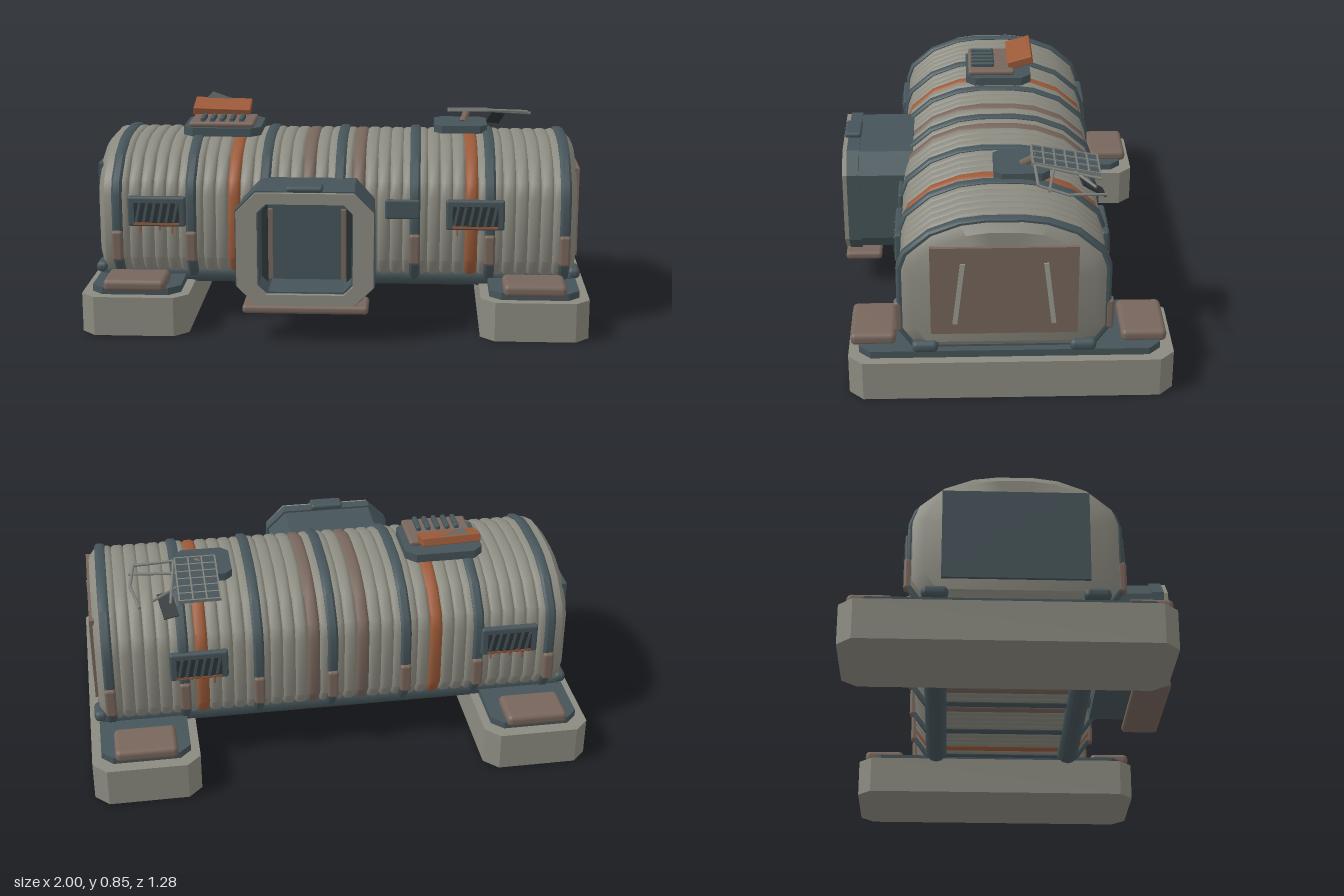
import * as THREE from 'three';
import { toCreasedNormals } from 'three/addons/utils/BufferGeometryUtils.js';
import { RoundedBoxGeometry } from 'three/addons/geometries/RoundedBoxGeometry.js';

const mat = (name, color, side = THREE.FrontSide) => {
  const m = new THREE.MeshStandardMaterial({ color, side });
  m.name = name;
  return m;
};

export function createModel() {
  const model = new THREE.Group();
  model.name = 'habitatModule';
  const grey = mat('weathered grey', 0x8c8b81);
  const teal = mat('dark teal', 0x46555a);
  const brown = mat('dull brown', 0x77665c);
  const rust = mat('rust orange', 0x9c5a38);
  const black = mat('dark slot', 0x2c3436);
  const sheet = mat('torn sheet', 0x7d807b, THREE.DoubleSide);
  const pale = mat('pale scrape', 0x9a9c92);

  const add = (name, geo, material, x = 0, y = 0, z = 0, parent = model) => {
    const m = new THREE.Mesh(geo, material);
    m.name = name;
    m.position.set(x, y, z);
    parent.add(m);
    return m;
  };
  const box = (name, w, h, d, material, x, y, z, parent) =>
    add(name, new THREE.BoxGeometry(w, h, d), material, x, y, z, parent);
  const pad = (name, w, h, d, material, x, y, z, r = 0.012) =>
    add(name, new RoundedBoxGeometry(w, h, d, 2, Math.min(r, h / 2.1, d / 2.1)), material, x, y, z);
  const rod = (name, a, b, r, material) => {
    const p = new THREE.Vector3(...a), q = new THREE.Vector3(...b);
    const m = add(name, new THREE.CylinderGeometry(r, r, p.distanceTo(q), 6), material);
    m.position.copy(p).add(q).multiplyScalar(0.5);
    m.quaternion.setFromUnitVectors(new THREE.Vector3(0, 1, 0), q.sub(p).normalize());
    return m;
  };
  // Rectangle with cut corners
  const octagon = (w, h, c, Type = THREE.Shape) => {
    const a = w / 2, b = h / 2;
    return new Type([[-a + c, -b], [a - c, -b], [a, -b + c], [a, b - c], [a - c, b], [-a + c, b], [-a, b - c], [-a, -b + c]]
      .map(p => new THREE.Vector2(...p)));
  };
  const slab = (name, w, d, h, c, material, x, y, z) => {
    const g = new THREE.ExtrudeGeometry(octagon(w, d, c), { depth: h, bevelEnabled: false });
    g.rotateX(-Math.PI / 2);
    return add(name, g, material, x, y, z);
  };

  // Hull cross-section as [z, y], lofted along x; each station is [x, scale]
  const half = [[0.33, 0.188], [0.385, 0.265], [0.385, 0.52], [0.363, 0.58], [0.27, 0.66], [0.16, 0.702], [0.07, 0.714]];
  const ring = [...half, ...half.slice().reverse().map(([z, y]) => [-z, y])];
  const CY = 0.45;
  const loft = stations => {
    const pos = [], n = ring.length;
    const at = ([x, s], j) => {
      const [z, y] = ring[j % n];
      return [x, CY + (y - CY) * s, z * s];
    };
    const last = stations[stations.length - 1];
    for (let j = 0; j < n; j++) {
      for (let i = 0; i < stations.length - 1; i++) {
        const a = at(stations[i], j), b = at(stations[i + 1], j);
        const c = at(stations[i + 1], j + 1), d = at(stations[i], j + 1);
        pos.push(...a, ...b, ...c, ...a, ...c, ...d);
      }
      pos.push(stations[0][0], CY, 0, ...at(stations[0], j), ...at(stations[0], j + 1));
      pos.push(last[0], CY, 0, ...at(last, j + 1), ...at(last, j));
    }
    const g = new THREE.BufferGeometry();
    g.setAttribute('position', new THREE.Float32BufferAttribute(pos, 3));
    return toCreasedNormals(g, 0.7);
  };

  // Corrugated hull ribs, a few of them rusted or faded
  const step = 0.0498, mid = 0.016;
  const ribColours = { '-9': rust, 10: rust, '-3': brown, 1: brown };
  for (let k = -18; k < 18; k++) {
    const x = mid + k * step;
    add('hullRib', loft([[0, 0.972], [0.08, 0.988], [0.28, 1], [0.72, 1], [0.92, 0.988], [1, 0.972]]
      .map(([t, s]) => [x + t * step, s])), ribColours[k] || grey);
  }

  // Structural hoops with foot clamps
  for (let i = -3; i <= 3; i++) {
    const x = mid + i * 0.298;
    add('hoop', loft([[x - 0.021, 1.012], [x - 0.012, 1.035], [x + 0.012, 1.035], [x + 0.021, 1.012]]), teal);
    for (const s of [-1, 1]) {
      if (s > 0 && (i === -1 || i === 0)) continue;
      pad('hoopClamp', 0.044, 0.125, 0.035, brown, x, 0.315, s * 0.393);
    }
  }

  // End caps with access panels
  for (const s of [-1, 1]) {
    const st = [[0.89, 1], [0.93, 0.985], [0.957, 0.87]];
    add('endCap', loft(s > 0 ? st : st.map(([x, k]) => [-x, k]).reverse()), grey);
    box('endPanel', 0.02, 0.36, 0.545, s > 0 ? brown : teal, s * 0.96, 0.445, 0);
  }
  for (const s of [-1, 1]) {
    const m = box('panelScrape', 0.008, 0.255, 0.018, pale, 0.971, 0.435, s * 0.168);
    m.rotation.x = -s * 0.12;
  }

  // Under-floor rails
  for (const s of [-1, 1]) {
    const g = new THREE.CylinderGeometry(0.046, 0.046, 1.9, 12);
    g.rotateZ(Math.PI / 2);
    add('floorRail', g, teal, 0, 0.188, s * 0.295);
    for (const e of [-1, 1]) pad('railEnd', 0.05, 0.045, 0.1, teal, e * 0.955, 0.207, s * 0.295, 0.02);
  }

  // Foundation blocks with deck plates and pads
  for (const s of [-1, 1]) {
    slab('foundation', 0.425, 1.225, 0.157, 0.055, grey, s * 0.7875, 0, -0.0275);
    slab('deckPlate', 0.352, 1.135, 0.028, 0.045, teal, s * 0.786, 0.157, -0.022);
    pad('deckPad', 0.246, 0.05, 0.172, brown, s * 0.785, 0.2, 0.492, 0.02);
    pad('deckPad', 0.246, 0.05, 0.172, brown, s * 0.785, 0.2, -0.53, 0.02);
  }

  // Entry porch: hollow shell, rim, recessed door, sill and top cap
  const px = -0.107, py = 0.374;
  const tube = (name, w, h, c, hw, hh, hc, depth, material, z) => {
    const shape = octagon(w, h, c);
    shape.holes.push(octagon(hw, hh, hc, THREE.Path));
    return add(name, new THREE.ExtrudeGeometry(shape, { depth, bevelEnabled: false }), material, px, py, z);
  };
  tube('porchShell', 0.525, 0.44, 0.075, 0.36, 0.35, 0.035, 0.265, teal, 0.35);
  tube('porchCollar', 0.54, 0.456, 0.078, 0.37, 0.36, 0.035, 0.05, teal, 0.572);
  tube('porchRim', 0.53, 0.446, 0.076, 0.37, 0.36, 0.035, 0.02, grey, 0.62);
  box('door', 0.38, 0.37, 0.02, teal, px, py, 0.43);
  for (const s of [-1, 1]) {
    box('doorJamb', 0.022, 0.345, 0.03, black, px + s * 0.166, py, 0.5);
    box('doorHandrail', 0.018, 0.28, 0.02, brown, px + s * 0.143, py - 0.01, 0.51);
  }
  pad('porchSill', 0.49, 0.034, 0.15, brown, px, 0.132, 0.565, 0.014);
  pad('porchTopCap', 0.14, 0.024, 0.07, teal, px, 0.611, 0.602);

  // Side vents, front and back
  for (const [x, s] of [[-0.715, 1], [0.553, 1], [-0.705, -1], [0.553, -1]]) {
    const vent = new THREE.Group();
    vent.name = 'sideVent';
    vent.position.set(x, 0.46, s * 0.396);
    if (s < 0) vent.rotation.y = Math.PI;
    model.add(vent);
    add('ventFrame', new RoundedBoxGeometry(0.232, 0.122, 0.03, 2, 0.01), teal, 0, 0, 0, vent);
    box('ventRecess', 0.18, 0.08, 0.006, black, 0, -0.004, 0.014, vent);
    for (let i = 0; i < 6; i++) {
      const slat = box('ventSlat', 0.011, 0.08, 0.008, teal, -0.075 + i * 0.03, -0.004, 0.016, vent);
      slat.rotation.z = -0.2;
    }
    box('ventRust', 0.18, 0.009, 0.006, rust, 0, -0.049, 0.015, vent);
    for (const [dx, h] of [[-0.07, 0.03], [0.01, 0.02], [0.06, 0.035]])
      box('rustDrip', 0.007, h, 0.006, rust, dx, -0.06 - h / 2, -0.006, vent);
  }

  // Blank wall plate
  pad('wallPlate', 0.14, 0.08, 0.02, teal, 0.265, 0.48, 0.396);

  // Roof hatch with grille and a torn-off lid
  slab('hatchBase', 0.32, 0.28, 0.035, 0.04, teal, -0.485, 0.71, 0.015 - 0.03);
  pad('hatchTop', 0.27, 0.024, 0.2, brown, -0.485, 0.757, 0.015);
  for (let i = 0; i < 5; i++) pad('grilleBar', 0.02, 0.022, 0.1, teal, -0.565 + i * 0.04, 0.775, 0.052, 0.006);
  const lid = pad('tornLid', 0.24, 0.035, 0.11, rust, -0.505, 0.792, -0.11, 0.004);
  lid.rotation.set(0.28, 0, -0.03);
  const shard = new THREE.Shape([[-0.09, 0], [0.1, 0], [0.02, 0.02], [-0.045, 0.045]].map(p => new THREE.Vector2(...p)));
  add('lidShard', new THREE.ShapeGeometry(shard), sheet, -0.505, 0.808, -0.15).rotation.x = 0.2;

  // Broken roof panel array
  slab('arrayBase', 0.22, 0.215, 0.032, 0.03, teal, 0.5, 0.713, -0.078);
  rod('arrayMast', [0.51, 0.74, -0.08], [0.53, 0.782, -0.14], 0.016, brown);
  const array = new THREE.Group();
  array.name = 'panelArray';
  array.position.set(0.535, 0.763, -0.245);
  array.rotation.x = -0.18;
  model.add(array);
  box('panelSheet', 0.165, 0.008, 0.26, teal, 0, 0, 0, array);
  for (let i = 0; i < 4; i++) box('panelLine', 0.006, 0.014, 0.265, sheet, -0.08 + i * 0.0535, 0.002, 0, array);
  for (let i = 0; i < 7; i++) box('panelLine', 0.166, 0.014, 0.006, sheet, 0, 0.002, -0.13 + i * 0.0433, array);
  const frame = [
    [[0.62, 0.785, -0.125], [0.78, 0.78, -0.13]], [[0.78, 0.78, -0.13], [0.8, 0.75, -0.24]],
    [[0.8, 0.75, -0.24], [0.77, 0.735, -0.385]], [[0.62, 0.785, -0.13], [0.65, 0.74, -0.375]],
    [[0.45, 0.775, -0.16], [0.72, 0.74, -0.35]], [[0.6, 0.77, -0.2], [0.8, 0.765, -0.17]]];
  for (const [a, b] of frame) rod('bentStrut', a, b, 0.006, sheet);
  const flap = box('hangingFlap', 0.06, 0.006, 0.11, black, 0.66, 0.712, -0.342);
  flap.rotation.set(-0.6, 0.2, 0);
  return model;
}
